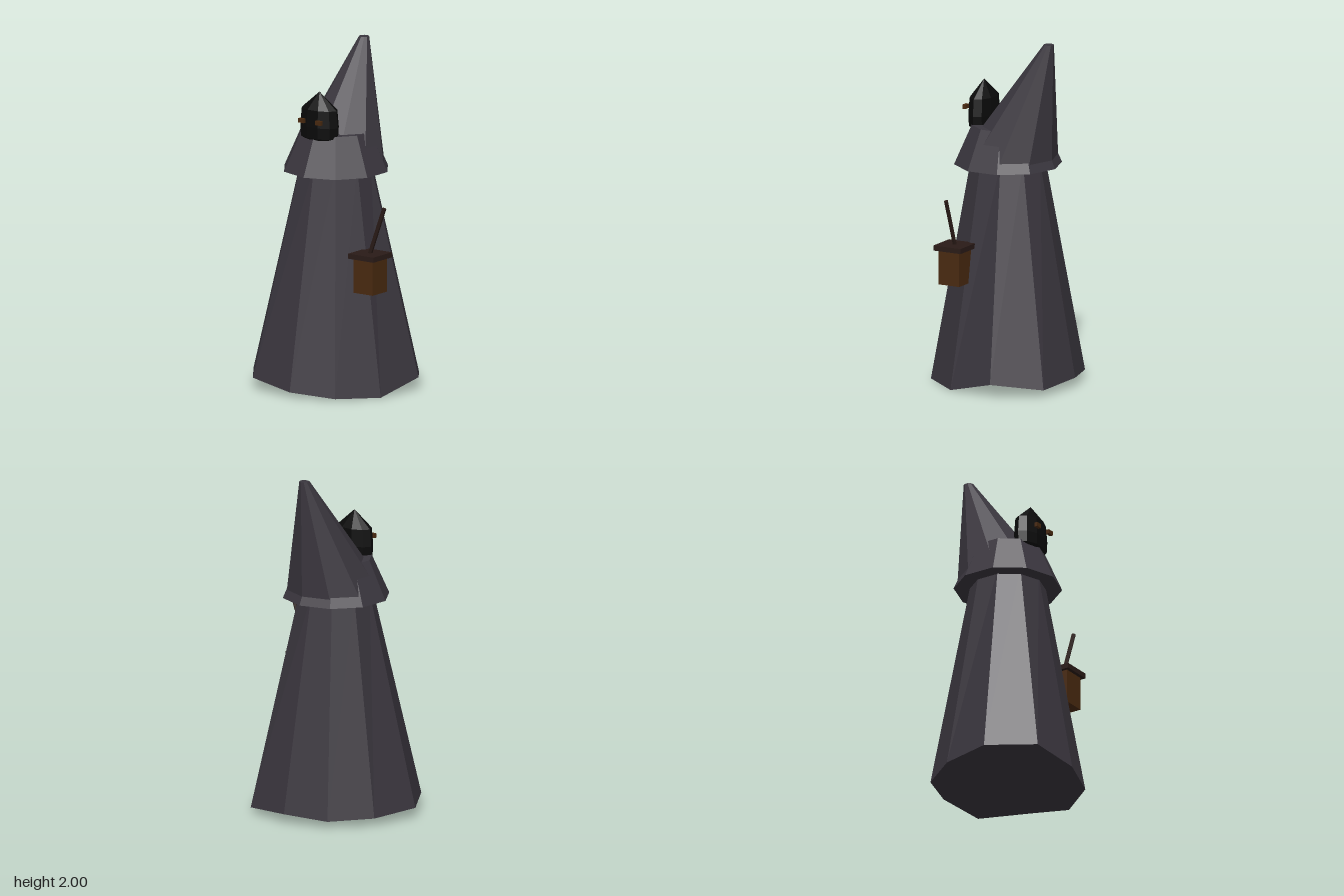
import * as THREE from 'three';

const SIDES = 10;
const mat = (color) => new THREE.MeshStandardMaterial({ color, flatShading: true });

export function createModel() {
  const model = new THREE.Group();
  const cloth = mat(0x3a363e);
  const black = mat(0x0a0a0a);
  const amber = mat(0x4a2a10);
  const darkWood = mat(0x2a1b17);

  const add = (name, geometry, material, x = 0, y = 0, z = 0, parent = model) => {
    const mesh = new THREE.Mesh(geometry, material);
    mesh.name = name;
    mesh.position.set(x, y, z);
    parent.add(mesh);
    return mesh;
  };

  // Ten-sided frustum standing between two heights
  const frustum = (rTop, rBottom, y0, y1) =>
    new THREE.CylinderGeometry(rTop, rBottom, y1 - y0, SIDES).translate(0, (y0 + y1) / 2, 0);

  // Robe: uneven, rippling hem
  const hemY = [0.03, 0.01, 0, 0.075, 0.035, 0.055, 0.04, 0.045, 0.06, 0.07];
  const robe = frustum(0.212, 0.445, 0.04, 1.31);
  const p = robe.attributes.position;
  for (let i = 0; i < p.count; i++) {
    const x = p.getX(i), z = p.getZ(i);
    if (p.getY(i) > 0.5 || Math.hypot(x, z) < 0.1) continue;
    const k = (Math.round(Math.atan2(x, z) / (Math.PI / 5)) + SIDES) % SIDES;
    const flare = k % 5 >= 3 ? 0.5 / 0.445 : 1;
    p.setXYZ(i, x * flare, hemY[k], z * flare);
  }
  robe.computeVertexNormals();
  add('robe', robe, cloth);

  // Shoulder cape
  add('cape', frustum(0.21, 0.312, 1.27, 1.5), cloth);

  // Hood: cone sheared backwards towards its tip
  const hood = frustum(0.03, 0.29, 1.3, 2);
  const h = hood.attributes.position;
  for (let i = 0; i < h.count; i++) {
    h.setZ(i, h.getZ(i) - 0.27 * (h.getY(i) - 1.3) / 0.7);
  }
  hood.computeVertexNormals();
  add('hood', hood, cloth);

  // Face: flattened faceted form with a pointed top
  const profile = [[0, 1.46], [0.07, 1.46], [0.125, 1.485], [0.13, 1.55], [0.12, 1.65], [0, 1.75]]
    .map(([r, y]) => new THREE.Vector2(r, y));
  const face = new THREE.LatheGeometry(profile, SIDES, Math.PI / 2).scale(1, 1, 0.58);
  add('face', face, black, 0, 0, 0.158);

  // Eyes
  for (const s of [-1, 1]) {
    add(s > 0 ? 'leftEye' : 'rightEye', new THREE.BoxGeometry(0.04, 0.025, 0.02), amber, s * 0.06, 1.588, 0.247);
  }

  // Lantern with lid and slanted handle
  const lantern = new THREE.Group();
  lantern.name = 'lantern';
  lantern.position.set(0.355, 0, 0.148);
  model.add(lantern);
  add('lanternBody', new THREE.BoxGeometry(0.138, 0.21, 0.138), amber, 0, 0.72, 0, lantern);
  add('lanternLid', new THREE.BoxGeometry(0.18, 0.03, 0.18), darkWood, 0, 0.831, 0, lantern);
  const handle = add('lanternHandle', new THREE.CylinderGeometry(0.0125, 0.0125, 0.3, 6), darkWood, 0.05, 0.98, 0, lantern);
  handle.rotation.z = -0.35;

  return model;
}
